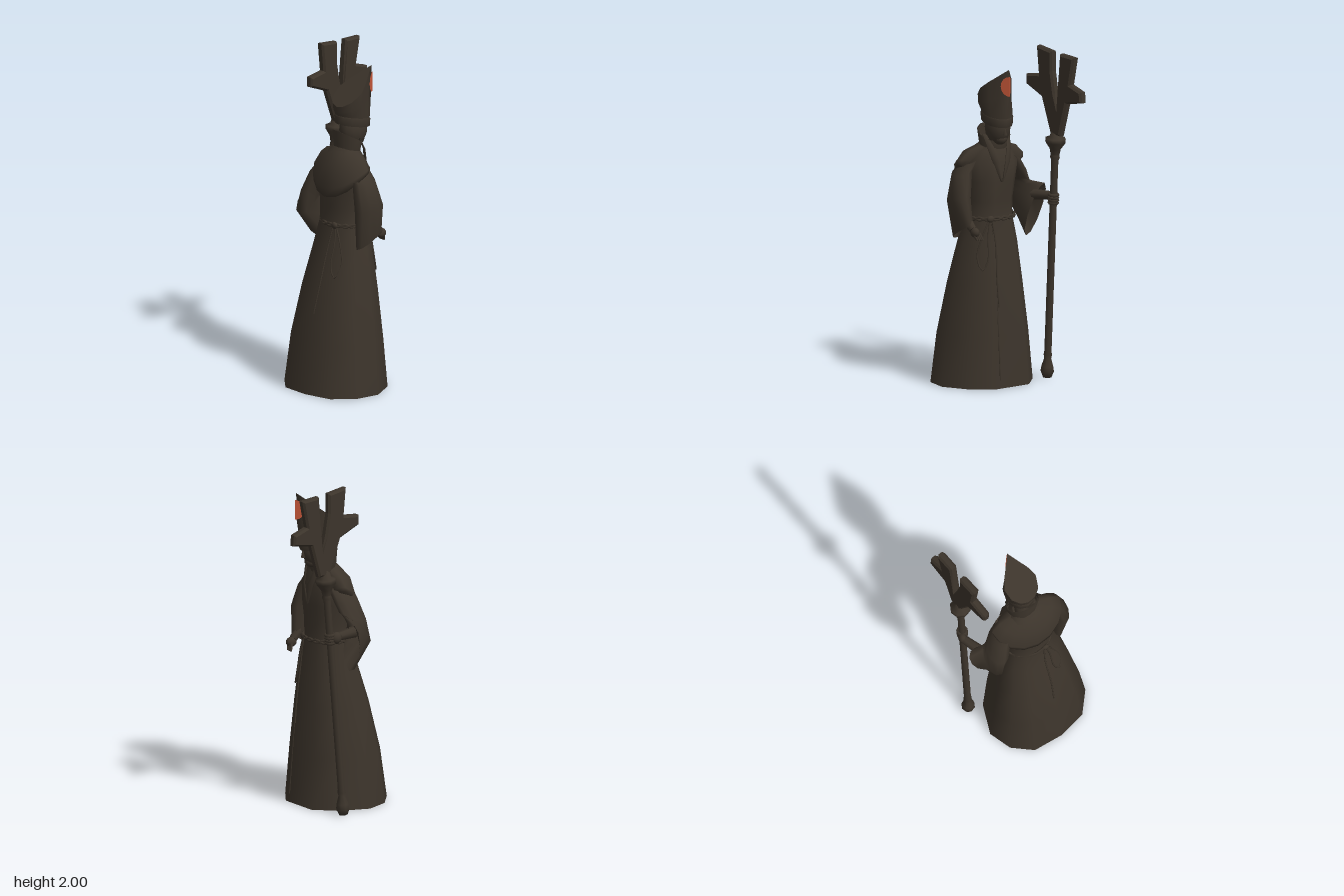
import * as THREE from 'three';

const cloth = new THREE.MeshStandardMaterial({ color: 0x3c342b, side: THREE.DoubleSide });
cloth.name = 'dark brown';
const orange = new THREE.MeshStandardMaterial({ color: 0xc8583a, side: THREE.DoubleSide });
orange.name = 'orange';

const V = (x, y, z) => new THREE.Vector3(x, y, z);
const TAU = Math.PI * 2;

// Skin a list of closed rings (arrays of Vector3) with smooth normals
function loft(rings, flat = false) {
  const n = rings[0].length, index = [];
  for (let i = 0; i < rings.length - 1; i++)
    for (let j = 0; j < n; j++) {
      const k = (j + 1) % n, a = i * n + j, b = i * n + k, c = b + n, d = a + n;
      index.push(a, b, c, a, c, d);
    }
  let g = new THREE.BufferGeometry().setFromPoints(rings.flat());
  g.setIndex(index);
  if (flat) g = g.toNonIndexed();
  g.computeVertexNormals();
  return g;
}
// Ring whose points come from f(sin, cos); angle 0 is +z, 90 degrees is +x
const ringOf = (n, f) => Array.from({ length: n }, (_, i) => {
  const a = i / n * TAU;
  return f(Math.sin(a), Math.cos(a));
});
const section = (c, u, v, n = 10) =>
  ringOf(n, (s, k) => V(...c).addScaledVector(V(...u), s).addScaledVector(V(...v), k));

// Robe sections: y, centre x, centre z, radius x, radius z
const ROBE = [
  [0, 0.045, 0.115, 0.316, 0.281], [0.3, 0.045, 0.108, 0.284, 0.25], [0.6, 0.044, 0.088, 0.235, 0.203],
  [0.85, 0.042, 0.066, 0.188, 0.152], [1.0, 0.037, 0.06, 0.147, 0.125], [1.1, 0.037, 0.058, 0.147, 0.125],
  [1.22, 0.036, 0.055, 0.165, 0.132], [1.33, 0.034, 0.055, 0.185, 0.125], [1.4, 0.03, 0.05, 0.125, 0.095],
  [1.45, 0.027, 0.04, 0.07, 0.065]];
// Uneven hem outline in unit coordinates
const HEM = [[0.14, 0.98], [0.68, 0.79], [0.97, 0.34], [1, -0.2], [0.68, -0.73], [0.24, -1],
  [-0.52, -0.875], [-0.84, -0.41], [-1, 0.23], [-0.81, 0.7], [-0.43, 1]];
function robeAt(y) {
  let i = 0;
  while (i < ROBE.length - 2 && ROBE[i + 1][0] < y) i++;
  const t = (y - ROBE[i][0]) / (ROBE[i + 1][0] - ROBE[i][0]);
  return ROBE[i].map((v, k) => v + (ROBE[i + 1][k] - v) * t);
}
// Point on the robe's front (dir -1) or back (dir +1)
function onRobe(x, y, dir, out = 0.004) {
  const [, cx, cz, rx, rz] = robeAt(y);
  const s = Math.min(1, Math.abs(x - cx) / rx);
  return V(x, y, cz + dir * (rz * Math.sqrt(1 - s * s) + out));
}

export function createModel() {
  const model = new THREE.Group();
  const add = (name, geo, mat = cloth, parent = model) => {
    const m = new THREE.Mesh(geo, mat);
    m.name = name;
    parent.add(m);
    return m;
  };
  const tube = (name, pts, r, closed = false) =>
    add(name, new THREE.TubeGeometry(new THREE.CatmullRomCurve3(pts, closed), closed ? 48 : 20, r, 5, closed));
  const ball = (name, p, s) => {
    const m = add(name, new THREE.SphereGeometry(1, 12, 8));
    m.position.set(...p);
    m.scale.set(...s);
  };
  const limb = (name, a, b, r0, r1) => {
    const d = V(...b).sub(V(...a));
    const m = add(name, new THREE.CylinderGeometry(r1, r0, d.length(), 8));
    m.position.set(...a).addScaledVector(d, 0.5);
    m.quaternion.setFromUnitVectors(V(0, 1, 0), d.normalize());
  };

  // Robe, open at the hem
  add('robe', loft(ROBE.map(([y, cx, cz, rx, rz]) => HEM.map(([x, z]) => V(cx + rx * x, y, cz + rz * z)))));
  tube('robeFrontSeam', [0.97, 0.7, 0.4, 0.05].map(y => onRobe(0.09, y, -1, 0)), 0.004);

  // Shoulder cape: drooping down the back, merging into the robe at the shoulders
  const cape = (cx, cz, rx, back, front, y, droop) => ringOf(16, (s, c) =>
    V(cx + rx * s, y - droop * Math.pow(Math.max(0, c), 1.3), cz + (c > 0 ? back : front) * c));
  add('shoulderCape', loft([
    cape(0.035, 0.05, 0.19, 0.11, 0.05, 1.30, 0.12), cape(0.035, 0.06, 0.225, 0.145, 0.06, 1.325, 0.16),
    cape(0.035, 0.06, 0.226, 0.152, 0.065, 1.35, 0.13), cape(0.033, 0.055, 0.17, 0.135, 0.07, 1.405, 0.05),
    cape(0.03, 0.05, 0.08, 0.07, 0.06, 1.435, 0)]));

  // Stand-up collar, lower at the throat, with lapels
  const collar = (y, rise, rx, rz) => ringOf(12, (s, c) =>
    V(0.027 + rx * s, y + rise * (c + 1) / 2, 0.03 + rz * c));
  add('collar', loft([collar(1.41, 0, 0.085, 0.072), collar(1.46, 0.09, 0.104, 0.08), collar(1.455, 0.09, 0.092, 0.068)]));
  for (const s of [-1, 1])
    add('lapel', loft([[0.078, 1.5, 0.0, 0.012], [0.062, 1.43, -0.045, 0.02], [0.038, 1.34, -0.074, 0.022], [0.004, 1.22, -0.076, 0.004]]
      .map(([x, y, z, w]) => section([0.03 + s * x, y, z], [w, 0, s * w * 0.4], [0, 0, 0.007], 6))));

  // Head
  limb('neck', [0.026, 1.38, 0.03], [0.026, 1.52, 0], 0.045, 0.045);
  ball('head', [0.026, 1.54, -0.015], [0.072, 0.11, 0.088]);
  ball('chin', [0.026, 1.475, -0.05], [0.04, 0.035, 0.04]);
  const nose = add('nose', new THREE.ConeGeometry(0.016, 0.06, 4));
  nose.position.set(0.026, 1.535, -0.104);

  // Tall hat with a slanted teardrop top
  const half = [[0, 1], [0.45, 0.92], [0.85, 0.65], [1, 0.2], [0.75, -0.2], [0.35, -0.62]];
  const tear = [...half, [0, -1], ...half.slice(1).reverse().map(([x, z]) => [-x, z])];
  const tearRing = (y, slope, k) => tear.map(([x, z]) =>
    V(0.027 + 0.104 * k * x, y - slope * (z * 0.13 - 0.02), -0.02 + 0.13 * k * z));
  const hatTop = tearRing(1.785, 0.8, 1);
  const hatRing = (y, rx, rz) => ringOf(12, (s, c) => V(0.027 + rx * s, y + 0.02 * c, -0.008 + rz * c));
  add('hat', loft([hatRing(1.575, 0.08, 0.1), hatRing(1.63, 0.087, 0.111), tearRing(1.7, 0.3, 0.98), hatTop]));
  const centre = V(0.027, 1.80, -0.02);
  add('hatTop', loft([hatTop, hatTop.map(() => centre)], true));
  add('hatBand', loft([hatRing(1.57, 0.078, 0.1), hatRing(1.57, 0.087, 0.111), hatRing(1.615, 0.09, 0.115),
    hatRing(1.625, 0.084, 0.106)]));

  // Oval emblem folded over the hat's front ridge
  const emblemPoint = (x, y) => V(0.027 + x, y, -0.157 + Math.abs(x) * 1.36);
  const oval = ringOf(16, (s, c) => emblemPoint(0.034 * s, 1.803 + 0.06 * c));
  add('hatEmblem', loft([oval, oval.map(p => emblemPoint(0, p.y))], true), orange);

  // Wide sleeves
  add('leftSleeve', loft([
    section([0.165, 1.35, 0.06], [0.06, -0.03, 0], [0, 0, 0.07]),
    section([0.225, 1.28, 0.058], [0.055, -0.02, 0], [0, 0, 0.078]),
    section([0.255, 1.12, 0.045], [0.062, 0, 0], [0, -0.02, 0.095]),
    section([0.235, 0.92, 0.03], [0.042, 0, 0], [0, -0.05, 0.092])]));
  add('rightSleeve', loft([
    section([-0.1, 1.35, 0.06], [0.06, 0.03, 0], [0, 0, 0.072]),
    section([-0.15, 1.27, 0.08], [0.06, 0.02, 0], [0, 0, 0.08]),
    section([-0.185, 1.17, 0.11], [0.06, 0.01, 0], [0, -0.03, 0.09]),
    section([-0.22, 1.09, 0.125], [0.055, 0, -0.02], [0.015, -0.09, 0.08]),
    section([-0.27, 1.0, 0.055], [0.05, 0.02, -0.025], [0.055, -0.155, 0.015])]));

  // Hands
  limb('leftForearm', [0.245, 1.06, 0.05], [0.22, 0.95, -0.06], 0.035, 0.024);
  ball('leftHand', [0.215, 0.935, -0.075], [0.026, 0.03, 0.034]);
  for (let i = 0; i < 4; i++)
    limb('leftFinger', [0.23 - i * 0.012, 0.93, -0.085], [0.212 - i * 0.012, 0.89, -0.1], 0.009, 0.006);
  limb('rightForearm', [-0.24, 1.09, 0.09], [-0.31, 1.1, -0.06], 0.035, 0.025);
  ball('rightHand', [-0.315, 1.095, -0.075], [0.026, 0.036, 0.034]);

  // Staff, leaning slightly forward
  const staff = new THREE.Group();
  staff.name = 'staff';
  staff.position.set(-0.305, 0, -0.022);
  staff.rotation.x = -0.079;
  staff.rotation.z = -0.006;
  model.add(staff);
  const profile = pts => new THREE.LatheGeometry(pts.map(p => new THREE.Vector2(...p)), 8);
  add('shaft', profile([[0, 0.002], [0.026, 0.004], [0.041, 0.04], [0.036, 0.07], [0.021, 0.12], [0.026, 0.14],
    [0.022, 0.16], [0.022, 1.33], [0.03, 1.345], [0.026, 1.37]]), cloth, staff);
  add('staffCollar', profile([[0.026, 1.36], [0.034, 1.4], [0.062, 1.44], [0.062, 1.465], [0.036, 1.475],
    [0.022, 1.53], [0, 1.53]]), cloth, staff);
  for (let i = 0; i < 4; i++) {
    const f = add('rightFinger', new THREE.TorusGeometry(0.025, 0.01, 6, 10), cloth, staff);
    f.rotation.x = Math.PI / 2;
    f.position.y = 1.07 + i * 0.016;
  }

  // Forked, branching staff head: outline in (z, y)
  const outline = [[-0.12, 1.49], [-0.195, 1.487], [-0.255, 1.69], [-0.39, 1.715], [-0.385, 1.77], [-0.285, 1.80],
    [-0.32, 1.965], [-0.205, 1.97], [-0.175, 1.63], [-0.145, 1.73], [-0.12, 1.86], [-0.12, 1.975], [0.003, 1.99],
    [-0.015, 1.82], [0.1, 1.805], [0.1, 1.755], [-0.04, 1.70]];
  const shape = new THREE.Shape(outline.map(([z, y]) => new THREE.Vector2(-z - 0.14, y)));
  const head = add('staffHead', new THREE.ExtrudeGeometry(shape, {
    depth: 0.026, bevelEnabled: true, bevelThickness: 0.012, bevelSize: 0.012, bevelOffset: -0.006, bevelSegments: 1 })
    .translate(0, 0, -0.013));
  head.position.set(-0.294, 0, -0.14);
  head.rotation.y = Math.PI / 2 + 0.18;

  // Twisted rope belt
  const [, bx, bz, brx, brz] = robeAt(1.0);
  for (const phase of [0, Math.PI])
    tube('belt', ringOf(36, (s, c) => {
      const w = Math.sin(Math.atan2(s, c) * 9 + phase) * 0.009;
      return V(bx + (brx + 0.004) * s, 1.0 + w, bz + (brz + 0.004) * c);
    }), 0.008, true);

  // Knots, loops and hanging cords on both sides
  const cords = [[[0.1, 1.0], [0.12, 0.9], [0.13, 0.76], [0.165, 0.7], [0.185, 0.78], [0.15, 0.9], [0.11, 0.99]],
    [[0.09, 1.0], [0.08, 0.85], [0.085, 0.65], [0.08, 0.48]]];
  for (const dir of [-1, 1]) {
    for (const c of cords) tube('cord', c.map(([x, y]) => onRobe(x, y, dir)), 0.005);
    ball('knot', onRobe(0.1, 1.0, dir, 0.008).toArray(), [0.024, 0.02, 0.014]);
  }
  return model;
}
